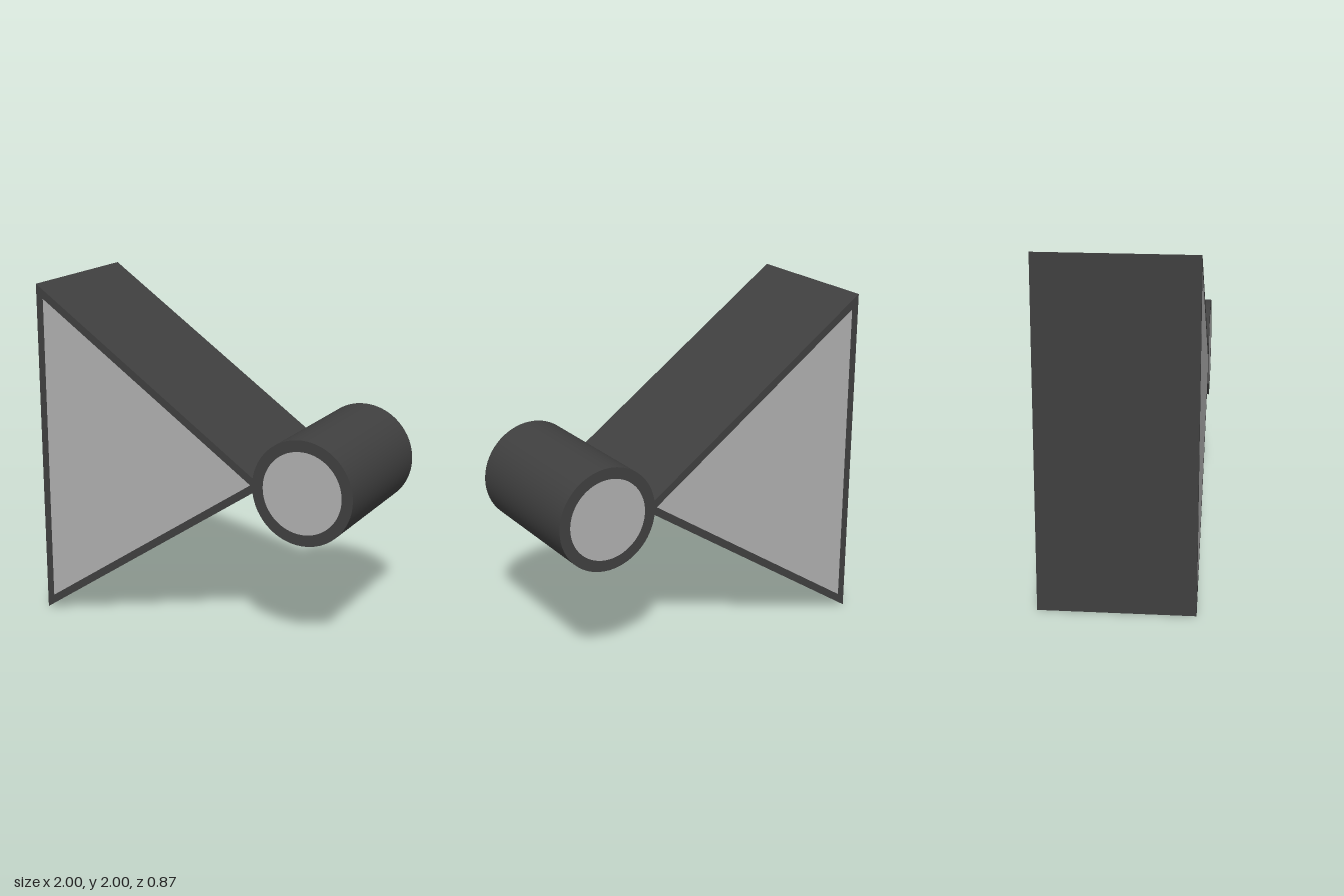
import * as THREE from 'three';

const HALF = 0.435; // half of the depth along z
const dark = new THREE.MeshStandardMaterial({ color: 0x404040 });
const light = new THREE.MeshStandardMaterial({ color: 0xb0b0b0 });

function addMesh(group, name, geometry, material) {
  const mesh = new THREE.Mesh(geometry, material);
  mesh.name = name;
  group.add(mesh);
  return mesh;
}

// Dark rim and light panel, flush with each other, on the front and the back
function addCaps(group, outer, inner) {
  const rim = new THREE.Shape(outer);
  rim.holes.push(new THREE.Path(inner));
  const panel = new THREE.Shape(inner);
  for (const [side, z] of [['front', HALF], ['back', -HALF]]) {
    const parts = [['Rim', rim, dark], ['Panel', panel, light]];
    for (const [part, shape, material] of parts) {
      const mesh = addMesh(group, side + part, new THREE.ShapeGeometry(shape), material);
      if (z < 0) {
        // the outlines are symmetric about y = 0, so a half turn about x makes the back
        mesh.rotation.x = Math.PI;
      }
      mesh.position.z = z;
    }
  }
}

// Isosceles triangle lying on its side, pointing to +x
function triangle(left, right, halfHeight) {
  return [
    new THREE.Vector2(left, -halfHeight),
    new THREE.Vector2(right, 0),
    new THREE.Vector2(left, halfHeight),
  ];
}

function circle(radius, segments) {
  return Array.from({ length: segments }, (_, i) => {
    const a = (i / segments) * Math.PI * 2;
    return new THREE.Vector2(radius * Math.cos(a), radius * Math.sin(a));
  });
}

function createWedge() {
  const group = new THREE.Group();
  group.name = 'triangularBody';
  const outer = triangle(-1, 0.465, 1);
  addCaps(group, outer, triangle(-0.956, 0.388, 0.916));

  // One flat wall along each edge
  const names = ['lowerWall', 'upperWall', 'endWall'];
  outer.forEach((a, i) => {
    const b = outer[(i + 1) % 3];
    const wall = new THREE.PlaneGeometry(a.distanceTo(b), HALF * 2);
    wall.rotateX(Math.PI / 2);
    wall.rotateZ(Math.atan2(b.y - a.y, b.x - a.x));
    wall.translate((a.x + b.x) / 2, (a.y + b.y) / 2, 0);
    addMesh(group, names[i], wall, dark);
  });
  return group;
}

function createDrum() {
  const group = new THREE.Group();
  group.name = 'roundDrum';
  const segments = 64;
  addCaps(group, circle(0.3, segments), circle(0.235, segments));

  // Smooth round wall
  const wall = new THREE.CylinderGeometry(0.3, 0.3, HALF * 2, segments, 1, true);
  wall.rotateX(Math.PI / 2);
  addMesh(group, 'drumWall', wall, dark);
  group.position.x = 0.7;
  return group;
}

export function createModel() {
  const model = new THREE.Group();
  model.name = 'triangleAndDrum';
  model.add(createWedge(), createDrum());
  for (const part of model.children) part.position.y = 1;
  return model;
}
